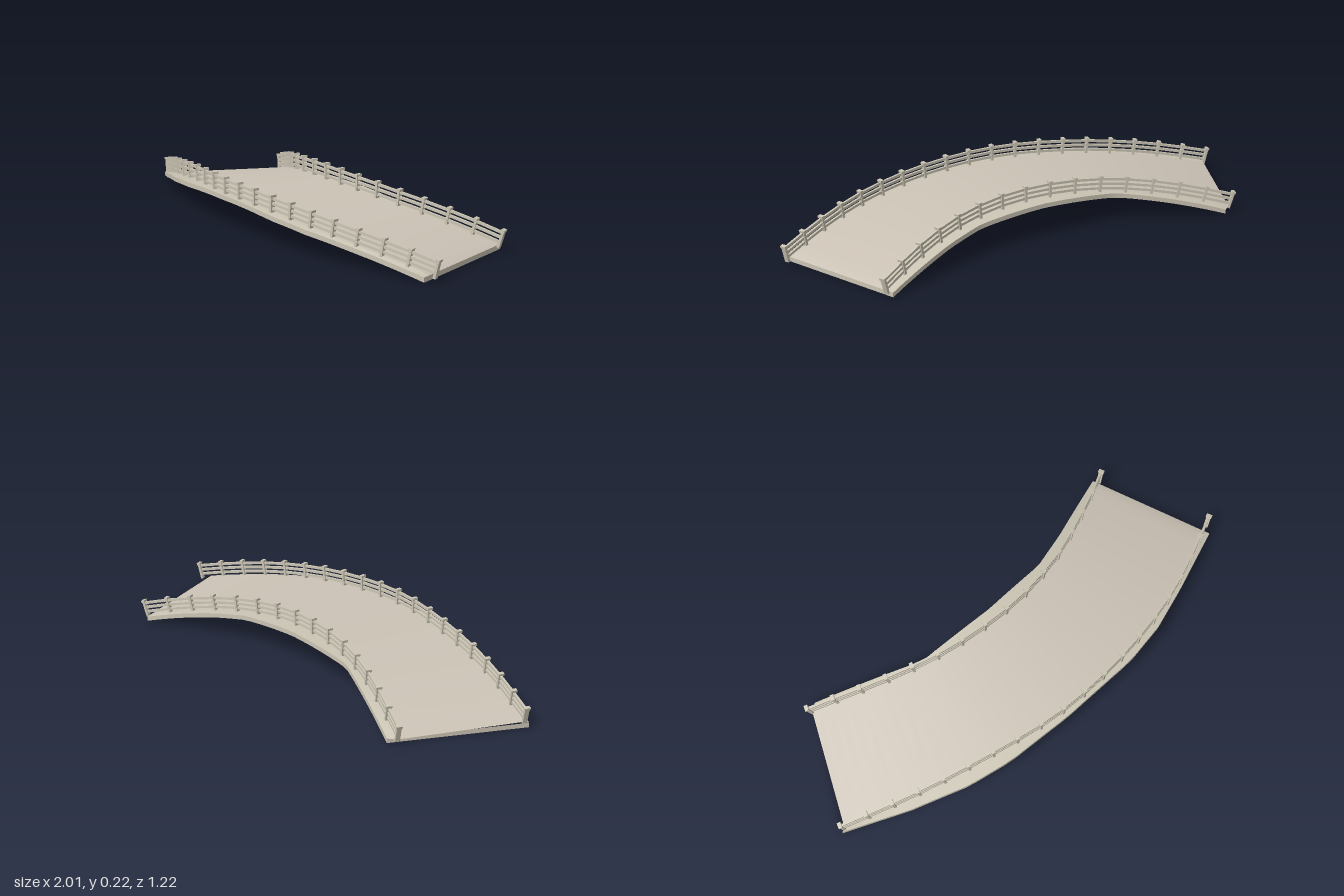
import * as THREE from 'three';

const STEPS = 36;      // rows along the span
const THICK = 0.02;    // slab thickness

// Arched height of the deck top, t from 0 (left end) to 1 (right end)
const height = t => THICK + 0.13 * (1 - (2 * t - 1) ** 2);

const points = list => list.map(([x, z]) => new THREE.Vector3(x, 0, z));

// Faceted slab edge, measured by length
function edgePath(list) {
  const p = points(list), path = new THREE.CurvePath();
  for (let i = 1; i < p.length; i++) path.add(new THREE.LineCurve3(p[i - 1], p[i]));
  return path;
}

// Strip between two rows of points; faces up when a is the +z side
function strip(a, b, material, name) {
  const pos = [], index = [];
  for (let i = 0; i < a.length; i++) {
    pos.push(...a[i].toArray(), ...b[i].toArray());
    if (i) {
      const k = 2 * i - 2;
      index.push(k, k + 2, k + 3, k, k + 3, k + 1);
    }
  }
  const g = new THREE.BufferGeometry();
  g.setAttribute('position', new THREE.Float32BufferAttribute(pos, 3));
  g.setIndex(index);
  g.computeVertexNormals();
  const mesh = new THREE.Mesh(g, material);
  mesh.name = name;
  return mesh;
}

export function createModel() {
  const stone = new THREE.MeshStandardMaterial({ color: 0xcbc5b4 });
  stone.name = 'stone';
  const paving = new THREE.MeshStandardMaterial({ color: 0xccc3b6 });
  paving.name = 'paving';

  const model = new THREE.Group();
  model.name = 'curvedBridge';

  // Plan outlines of the slab and the two railing lines
  const outerEdge = edgePath([[-1, -0.22], [-0.8, 0], [-0.6, 0.18], [-0.43, 0.29],
    [-0.15, 0.42], [0.2, 0.55], [0.4, 0.59], [0.62, 0.6], [0.95, 0.6]]);
  const innerEdge = edgePath([[-0.55, -0.6], [-0.2, -0.25], [0.13, -0.1],
    [0.42, 0], [0.6, 0.015], [0.95, 0.02]]);
  const outerLine = new THREE.CatmullRomCurve3(points([[-0.98, -0.22], [-0.73, 0],
    [-0.46, 0.2], [-0.16, 0.385], [0.18, 0.51], [0.51, 0.573], [0.75, 0.58], [0.98, 0.57]]));
  const innerLine = new THREE.CatmullRomCurve3(points([[-0.59, -0.59], [-0.35, -0.35],
    [-0.17, -0.2], [0.03, -0.08], [0.25, 0.01], [0.49, 0.057], [0.72, 0.06], [0.96, 0.045]]));

  const row = (curve, drop = 0) => Array.from({ length: STEPS + 1 }, (_, i) => {
    const t = i / STEPS, p = curve.getPointAt(t);
    p.x = Math.min(p.x, 0.95);
    p.y = height(t) - drop;
    return p;
  });

  // Slab: walkway, rims, sides, underside and ends
  const outTop = row(outerEdge), inTop = row(innerEdge);
  const outLow = row(outerEdge, THICK), inLow = row(innerEdge, THICK);
  const outRail = row(outerLine), inRail = row(innerLine);
  model.add(
    strip(outRail, inRail, paving, 'walkway'),
    strip(outTop, outRail, stone, 'outerRim'),
    strip(inRail, inTop, stone, 'innerRim'),
    strip(outLow, outTop, stone, 'outerSide'),
    strip(inTop, inLow, stone, 'innerSide'),
    strip(inLow, outLow, paving, 'underside'),
    strip([outLow[STEPS], inLow[STEPS]], [outTop[STEPS], inTop[STEPS]], stone, 'rightEnd'),
    strip([inLow[0], outLow[0]], [inTop[0], outTop[0]], stone, 'leftEnd'),
  );

  // Railings: posts square to the slope, each bay with three bars
  const up = new THREE.Vector3(0, 1, 0);
  const postBox = new THREE.BoxGeometry(0.02, 0.074, 0.011);
  const capBox = new THREE.BoxGeometry(0.026, 0.01, 0.016);

  function railing(curve, count, name) {
    const group = new THREE.Group();
    group.name = name;
    const at = t => curve.getPointAt(t).setY(height(t));
    const frames = Array.from({ length: count }, (_, i) => {
      const t = i / (count - 1);
      const dir = at(Math.min(1, t + 0.01)).sub(at(Math.max(0, t - 0.01))).normalize();
      const side = new THREE.Vector3().crossVectors(up, dir).normalize();
      const rise = new THREE.Vector3().crossVectors(dir, side);
      return { base: at(t), rise, basis: new THREE.Matrix4().makeBasis(side, rise, dir) };
    });
    const put = (geometry, f, lift, part) => {
      const mesh = new THREE.Mesh(geometry, stone);
      mesh.name = part;
      mesh.position.copy(f.base).addScaledVector(f.rise, lift);
      mesh.quaternion.setFromRotationMatrix(f.basis);
      group.add(mesh);
    };
    frames.forEach((f, i) => {
      put(postBox, f, 0.031, 'post');
      put(capBox, f, 0.068, 'postCap');
      if (!i) return;
      const prev = frames[i - 1];
      for (const lift of [0.016, 0.037, 0.058]) {
        const a = prev.base.clone().addScaledVector(prev.rise, lift);
        const b = f.base.clone().addScaledVector(f.rise, lift);
        const bar = new THREE.Mesh(new THREE.BoxGeometry(0.01, 0.011, a.distanceTo(b)), stone);
        bar.name = 'railBar';
        bar.position.copy(a).lerp(b, 0.5);
        bar.lookAt(b);
        group.add(bar);
      }
    });
    model.add(group);
  }
  railing(outerLine, 20, 'outerRailing');
  railing(innerLine, 16, 'innerRailing');

  return model;
}
